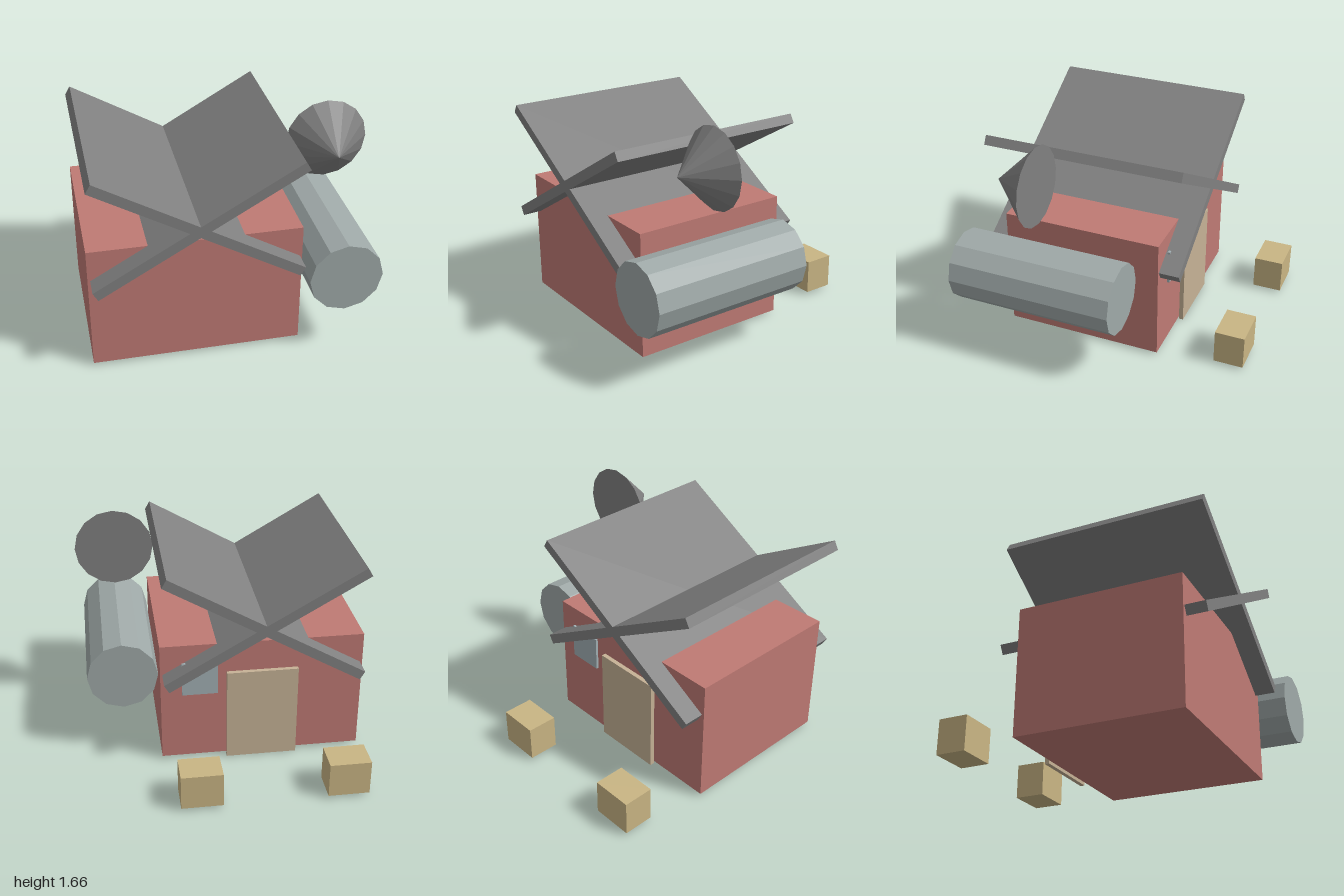
import * as THREE from 'three';

const mat = (name, color) => {
  const m = new THREE.MeshStandardMaterial({ color, flatShading: true });
  m.name = name;
  return m;
};

export function createModel() {
  const group = new THREE.Group();
  group.name = 'barn';
  const red = mat('barnRed', 0xbf7a74);
  const grey = mat('roofGrey', 0x808080);
  const steel = mat('siloSteel', 0x9fa9a8);
  const straw = mat('straw', 0xc9b584);
  const wood = mat('doorWood', 0xc6b296);
  const glass = mat('windowGlass', 0xa2b0b4);

  const add = (name, geometry, material, x, y, z) => {
    const mesh = new THREE.Mesh(geometry, material);
    mesh.name = name;
    mesh.position.set(x, y, z);
    group.add(mesh);
    return mesh;
  };
  // Box given by its min and max corners
  const box = (name, material, [x0, y0, z0], [x1, y1, z1]) =>
    add(name, new THREE.BoxGeometry(x1 - x0, y1 - y0, z1 - z0), material,
      (x0 + x1) / 2, (y0 + y1) / 2, (z0 + z1) / 2);

  // Barn body
  box('barnBody', red, [-1, 0.022, -0.373], [0.456, 0.933, 0.797]);

  // Two roof slabs crossing at the ridge
  for (const side of [-1, 1]) {
    const slab = add(side < 0 ? 'roofSlabRight' : 'roofSlabLeft',
      new THREE.BoxGeometry(1.603, 0.07, 1.46), grey, -0.271, 1.08, 0.21);
    slab.rotation.z = side * Math.PI / 6;
  }

  // Silo lying along z, and its separate cone cap
  add('silo', new THREE.CylinderGeometry(0.255, 0.255, 1.206, 12), steel, 0.712, 0.623, 0.395)
    .rotation.x = Math.PI / 2;
  add('siloCap', new THREE.ConeGeometry(0.285, 0.287, 16), grey, 0.712, 1.372, 0.538)
    .rotation.x = Math.PI / 2;

  // Door and window on the back wall
  box('door', wood, [-0.53, 0, -0.406], [-0.016, 0.705, -0.374]);
  box('window', glass, [0.05, 0.55, -0.404], [0.305, 0.803, -0.386]);

  // Hay bales
  for (const x of [-0.93, 0.093])
    box('hayBale', straw, [x, 0.022, -1], [x + 0.291, 0.275, -0.782]);

  return group;
}
